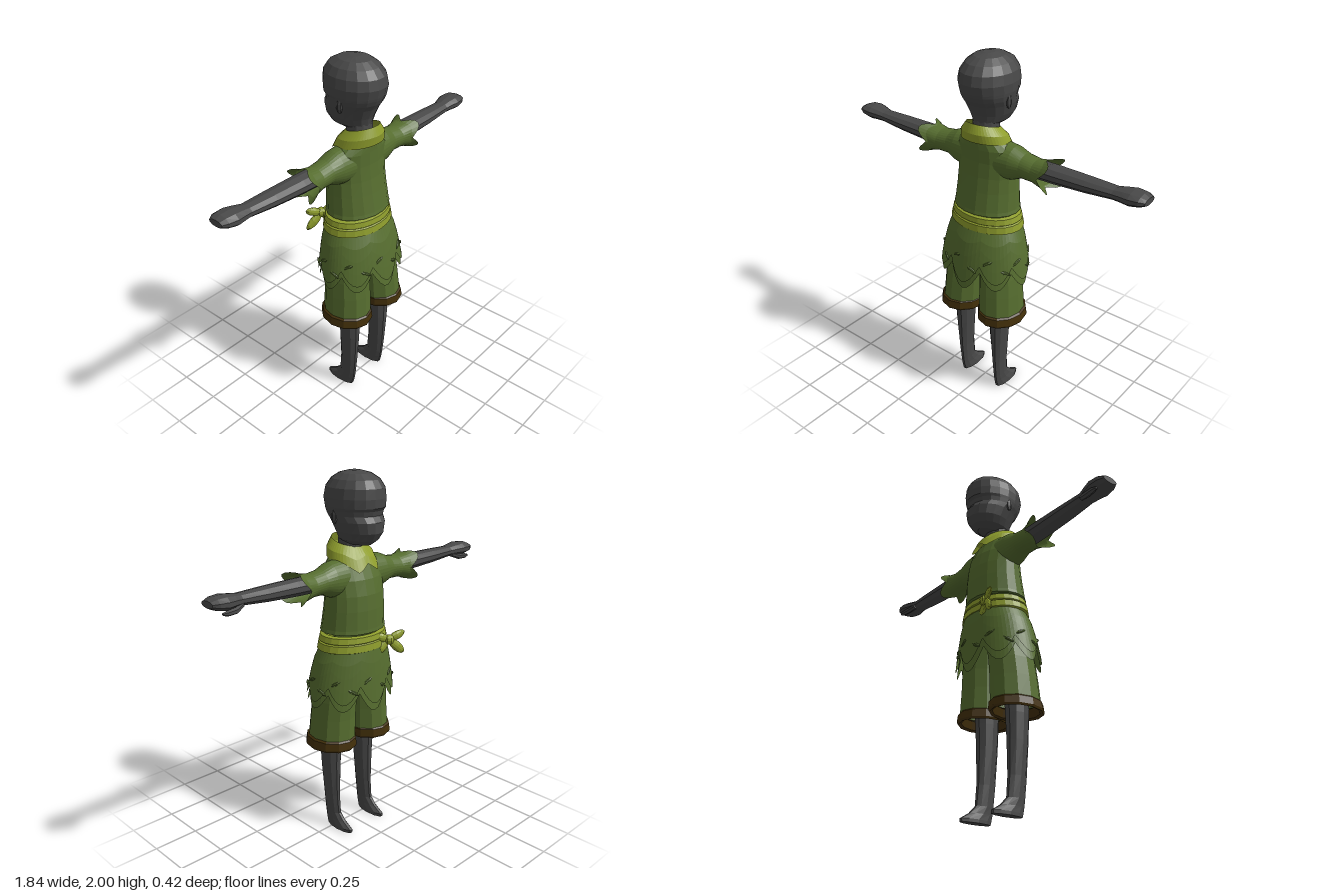
import * as THREE from 'three';

const mat = (name, color, side = THREE.FrontSide) => {
  const m = new THREE.MeshStandardMaterial({ color, side });
  m.name = name;
  return m;
};

// Faceted skin over a grid of points: point(row, angle) -> [x, y, z]
function skin(rows, n, point, cap = false) {
  const pos = [], idx = [];
  rows.forEach(r => {
    for (let j = 0; j < n; j++) pos.push(...point(r, (j / n) * Math.PI * 2));
  });
  for (let i = 0; i < rows.length - 1; i++) for (let j = 0; j < n; j++) {
    const a = i * n + j, b = i * n + (j + 1) % n;
    idx.push(a, a + n, b, b, a + n, b + n);
  }
  if (cap) for (let j = 1; j < n - 1; j++) {
    const t = (rows.length - 1) * n;
    idx.push(0, j, j + 1, t, t + j + 1, t + j);
  }
  const g = new THREE.BufferGeometry();
  g.setAttribute('position', new THREE.Float32BufferAttribute(pos, 3));
  g.setIndex(idx);
  return flat(g);
}

function flat(g) {
  const f = g.index ? g.toNonIndexed() : g;
  f.computeVertexNormals();
  return f;
}

// Upright rows, bottom to top: [y, half width, z min, z max, centre x]
const upright = ([y, rx, z0, z1, cx = 0], a) =>
  [cx + rx * Math.cos(a), y, (z0 + z1) / 2 + (z1 - z0) / 2 * Math.sin(a)];

// Sideways rows, body outwards: [x, y min, y max, z min, z max], s = +1 or -1
const sideways = s => ([x, y0, y1, z0, z1], a) =>
  [s * x, (y0 + y1) / 2 + (y1 - y0) / 2 * Math.cos(a), (z0 + z1) / 2 - s * (z1 - z0) / 2 * Math.sin(a)];

// Skirt surface and its scalloped hem
function skirtPoint(a, y, grow = 0) {
  const t = (1.08 - y) / 0.34, e = Math.pow(Math.max(t, 0), 0.6);
  const z0 = -0.165 - 0.03 * e, z1 = 0.125 + 0.08 * e;
  return upright([y, 0.19 + 0.085 * e + grow, z0 - grow, z1 + grow], a);
}
const hem = a => 0.87 - (0.085 + 0.03 * Math.pow(Math.sin(a), 4)) * Math.abs(Math.cos(4 * a));

export function createModel() {
  const model = new THREE.Group();
  const skinGrey = mat('charcoal skin', 0x484848);
  const green = mat('leaf green cloth', 0x566d2f, THREE.DoubleSide);
  const yellow = mat('yellow green sash', 0x8f9e2d, THREE.DoubleSide);
  const brown = mat('brown trim', 0x43300a, THREE.DoubleSide);
  const add = (name, geo, material) => {
    const m = new THREE.Mesh(geo, material);
    m.name = name;
    model.add(m);
    return m;
  };

  // Head with recessed eye band and jutting jaw, facing -z
  add('head', skin([
    [1.635, 0.05, -0.14, 0.05], [1.66, 0.085, -0.175, 0.06], [1.70, 0.107, -0.2, 0.07],
    [1.755, 0.126, -0.203, 0.095], [1.785, 0.134, -0.184, 0.115], [1.81, 0.14, -0.19, 0.127],
    [1.825, 0.143, -0.203, 0.132], [1.87, 0.146, -0.206, 0.142], [1.92, 0.137, -0.202, 0.132],
    [1.96, 0.112, -0.175, 0.1], [1.987, 0.075, -0.125, 0.055], [2.0, 0.03, -0.06, 0.0]
  ], 18, upright, true), skinGrey);
  add('neck', skin([[1.5, 0.075, -0.06, 0.07], [1.68, 0.07, -0.08, 0.06]], 12, upright, true), skinGrey);

  // Shirt body
  add('shirt', skin([
    [1.175, 0.18, -0.15, 0.12], [1.18, 0.192, -0.17, 0.135], [1.2, 0.187, -0.168, 0.13],
    [1.3, 0.18, -0.165, 0.112], [1.38, 0.176, -0.158, 0.1], [1.46, 0.178, -0.14, 0.092],
    [1.53, 0.17, -0.11, 0.09], [1.565, 0.13, -0.085, 0.09], [1.6, 0.08, -0.05, 0.085]
  ], 18, upright), green);

  // Collar with two hanging points at the throat
  add('collar', skin([0, 0.5, 1], 48, (t, a) => {
    const f = (1 - Math.sin(a)) / 2, d = Math.abs(Math.abs(a - Math.PI * 1.5) - 0.5);
    const tip = Math.max(0, 1 - d / 0.5);
    const low = 1.575 - 0.035 * f - 0.045 * tip, high = 1.67 - 0.05 * f;
    const bulge = 0.012 * Math.sin(t * Math.PI);
    return upright([low + (high - low) * t, 0.135 - 0.05 * t + bulge,
      -0.13 + 0.06 * t - 0.025 * tip * (1 - t) - bulge, 0.115 - 0.01 * t + bulge], a);
  }), yellow);

  // Sash wound twice around the waist
  add('sash', skin([
    [1.075, 0.195, -0.16, 0.125], [1.085, 0.216, -0.178, 0.142], [1.122, 0.208, -0.175, 0.138],
    [1.127, 0.198, -0.168, 0.13], [1.132, 0.205, -0.174, 0.136], [1.162, 0.197, -0.17, 0.132],
    [1.168, 0.175, -0.15, 0.115]
  ], 24, upright), yellow);

  // Sash bow: centre knot, two loops and two tails
  const bow = new THREE.Group();
  bow.name = 'bow';
  bow.position.set(-0.12, 1.115, -0.165);
  bow.rotation.y = -0.35;
  const petal = (name, angle, len, wide) => {
    const m = new THREE.Mesh(flat(new THREE.SphereGeometry(1, 8, 6)), yellow);
    m.name = name;
    m.scale.set(len / 2, wide, 0.016);
    m.rotation.z = angle;
    m.position.set(Math.cos(angle) * len / 2, Math.sin(angle) * len / 2, -0.012);
    bow.add(m);
  };
  petal('loop', 0.35, 0.1, 0.024);
  petal('loop', Math.PI - 0.35, 0.1, 0.024);
  petal('tail', -0.75, 0.125, 0.026);
  petal('tail', Math.PI + 0.75, 0.125, 0.026);
  const knot = new THREE.Mesh(flat(new THREE.SphereGeometry(0.028, 8, 6)), yellow);
  knot.name = 'knot';
  knot.position.z = -0.016;
  bow.add(knot);
  model.add(bow);

  // Skirt: inner layer hangs just below the outer layer
  const layer = (drop, grow) => skin([1, 0.75, 0.5, 0.25, 0], 64, (t, a) =>
    skirtPoint(a, 1.09 + (hem(a) - drop - 1.09) * t, grow));
  add('skirtOuter', layer(-0.03, 0.008), green);
  add('skirtInner', layer(0.012, -0.004), green);

  // Raised leaf slits on the skirt
  for (let k = 0; k < 8; k++) for (const side of [-1, 1]) {
    const a = k * Math.PI / 4 + side * 0.22;
    const slit = add('skirtLeaf', flat(new THREE.SphereGeometry(1, 6, 4)), green);
    slit.position.set(...skirtPoint(a, 0.9 + 0.025 * side, 0.008));
    slit.scale.set(0.032, 0.009, 0.008);
    slit.rotation.set(0, Math.PI / 2 - a, side * 0.5, 'YXZ');
  }

  for (const s of [1, -1]) {
    // Sleeve ending in leaf points at the four diagonals
    add('sleeve', skin([
      [0.1, 1.36, 1.565, -0.11, 0.07, 0], [0.18, 1.375, 1.555, -0.105, 0.06, 0],
      [0.24, 1.4, 1.53, -0.095, 0.045, 0], [0.31, 1.4, 1.52, -0.095, 0.045, 0],
      [0.355, 1.392, 1.525, -0.1, 0.052, 0.35], [0.365, 1.385, 1.53, -0.108, 0.06, 1]
    ], 32, (r, a) => {
      const tip = Math.pow(Math.abs(Math.sin(2 * a)), 1.5) * r[5], w = 0.022 * tip;
      return sideways(s)([r[0] + 0.055 * tip, r[1] - w, r[2] + w, r[3] - w, r[4] + w], a);
    }), green);

    // Arm and mitten hand
    add('arm', skin([
      [0.2, 1.42, 1.515, -0.09, 0.03], [0.42, 1.425, 1.515, -0.09, 0.03],
      [0.6, 1.435, 1.512, -0.088, 0.024], [0.75, 1.448, 1.508, -0.082, 0.014],
      [0.79, 1.447, 1.515, -0.095, 0.02], [0.84, 1.445, 1.522, -0.11, 0.03],
      [0.89, 1.455, 1.518, -0.105, 0.022], [0.92, 1.47, 1.505, -0.085, 0.005]
    ], 10, sideways(s), true), skinGrey);
    add('thumb', skin([
      [0.75, 1.45, 1.475, -0.085, -0.05], [0.8, 1.43, 1.462, -0.105, -0.07],
      [0.85, 1.43, 1.458, -0.108, -0.078], [0.875, 1.438, 1.452, -0.1, -0.085]
    ], 6, sideways(s), true), skinGrey);

    // Shorts and hollow cuff
    add('shortsLeg', skin([
      [0.57, 0.122, -0.125, 0.155, s * 0.129], [0.7, 0.118, -0.122, 0.145, s * 0.122],
      [0.8, 0.115, -0.125, 0.135, s * 0.115], [0.95, 0.11, -0.13, 0.12, s * 0.095]
    ], 12, upright), green);
    add('cuff', skin([
      [0.575, 0.1, -0.1, 0.125, s * 0.132], [0.53, 0.112, -0.115, 0.145, s * 0.132],
      [0.523, 0.128, -0.132, 0.163, s * 0.134], [0.535, 0.133, -0.138, 0.168, s * 0.134],
      [0.575, 0.128, -0.134, 0.163, s * 0.132], [0.587, 0.116, -0.12, 0.148, s * 0.13]
    ], 12, upright), brown);

    // Leg running into the pointed foot
    add('leg', skin([
      [0, 0.03, -0.138, 0.05, s * 0.125], [0.018, 0.03, -0.14, 0.055, s * 0.125],
      [0.05, 0.026, -0.085, 0.062, s * 0.125], [0.09, 0.026, -0.045, 0.067, s * 0.125],
      [0.2, 0.032, -0.035, 0.078, s * 0.125], [0.38, 0.046, -0.036, 0.09, s * 0.125],
      [0.52, 0.055, -0.042, 0.095, s * 0.125], [0.75, 0.062, -0.055, 0.095, s * 0.12]
    ], 10, upright, true), skinGrey);

    // Low ear ridge
    const ear = add('ear', flat(new THREE.SphereGeometry(1, 6, 5)), skinGrey);
    ear.scale.set(0.012, 0.04, 0.018);
    ear.position.set(s * 0.132, 1.78, -0.02);
  }
  return model;
}
